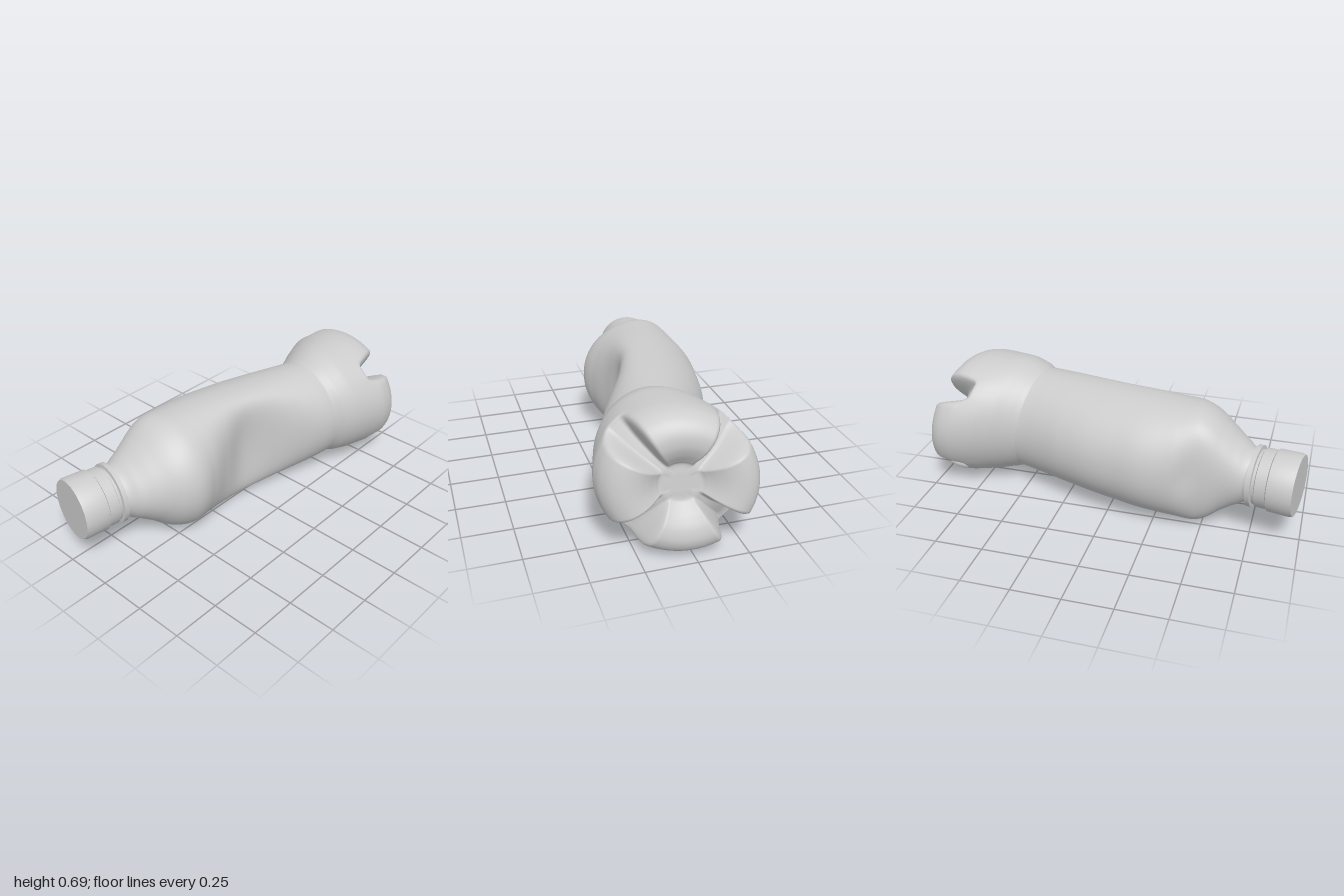
import * as THREE from 'three';
import { toCreasedNormals } from 'three/addons/utils/BufferGeometryUtils.js';

const SEG = 176;

// Section keys: centre x, back z, front z, low y, high y, tilt along z, tilt along y
const BODY = [
  [-0.74, -0.325, -0.06, 0.175, 0.445, 0.18, 0],
  [-0.69, -0.33, -0.01, 0.148, 0.478, 0.16, 0],
  [-0.6, -0.338, 0.07, 0.092, 0.548, 0.1, 0],
  [-0.53, -0.347, 0.135, 0.035, 0.602, 0.05, 0],
  [-0.46, -0.36, 0.16, 0.004, 0.631, 0, 0],
  [-0.36, -0.395, 0.137, 0.006, 0.636, 0, 0],
  [-0.2, -0.412, 0.083, 0.01, 0.64, 0, 0],
  [-0.06, -0.39, 0.055, 0.018, 0.64, 0, 0],
  [0.1, -0.355, 0.125, 0.03, 0.638, 0.02, 0.02],
  [0.25, -0.3, 0.215, 0.042, 0.635, 0.06, 0.06],
  [0.37, -0.245, 0.272, 0.052, 0.632, 0.12, 0.1],
  [0.475, -0.21, 0.3, 0.062, 0.63, 0.17, 0.15],
];
const BASE = [
  [0.475, -0.21, 0.3, 0.062, 0.63, 0.17, 0.15],
  [0.52, -0.225, 0.33, 0.048, 0.65, 0.17, 0.15],
  [0.6, -0.26, 0.363, 0.03, 0.676, 0.17, 0.15],
  [0.7, -0.3, 0.39, 0.018, 0.686, 0.17, 0.15],
  [0.8, -0.322, 0.414, 0.011, 0.69, 0.17, 0.15],
];

// Profiles of the base: position along the axis, fraction of the full radius
const LOBE = [[0.475, 1], [0.55, 1], [0.63, 1], [0.7, 1], [0.76, 1], [0.82, 0.995], [0.87, 0.965],
  [0.914, 0.88], [0.938, 0.74], [0.936, 0.58], [0.915, 0.44], [0.885, 0.32], [0.868, 0.25], [0.868, 0.12], [0.868, 0]];
const VALLEY = [[0.475, 1], [0.55, 1], [0.63, 1], [0.7, 1.005], [0.735, 1], [0.745, 0.95], [0.757, 0.88],
  [0.778, 0.79], [0.802, 0.69], [0.826, 0.58], [0.846, 0.46], [0.859, 0.35], [0.868, 0.25], [0.868, 0.12], [0.868, 0]];

const spline = (pts) => new THREE.SplineCurve(pts.map(([a, b]) => new THREE.Vector2(a, b)));

// Returns a function giving the smoothly interpolated section at any centre x
function sections(keys) {
  const columns = keys[0].map((_, c) => spline(keys.map((k) => [k[0], k[c]])));
  return (x) => {
    const last = keys.length - 1;
    let i = 0;
    while (i < last - 1 && x > keys[i + 1][0]) i++;
    const f = (x - keys[i][0]) / (keys[i + 1][0] - keys[i][0]);
    const t = THREE.MathUtils.clamp((i + f) / last, 0, 1);
    return columns.map((c) => c.getPoint(t).y);
  };
}

// Closed-ring surface from point(t, angle), t running along the bottle
function loft(rows, point) {
  const pos = [], index = [];
  for (let i = 0; i <= rows; i++) {
    for (let j = 0; j < SEG; j++) {
      pos.push(...point(i / rows, (j / SEG) * Math.PI * 2));
      if (i === rows) continue;
      const a = i * SEG + j, c = i * SEG + ((j + 1) % SEG);
      index.push(a, a + SEG, c, a + SEG, c + SEG, c);
    }
  }
  const g = new THREE.BufferGeometry();
  g.setAttribute('position', new THREE.Float32BufferAttribute(pos, 3));
  g.setIndex(index);
  g.computeVertexNormals();
  return g;
}

// A straight bottle whose front and back are pushed in or out at mid height
function bodyGeometry() {
  const at = sections(BODY);
  return loft(90, (t, angle) => {
    const x = THREE.MathUtils.lerp(-0.74, 0.475, t);
    const [, z0, z1, y0, y1, kz, ky] = at(x);
    const power = 2 + 0.15 * Math.sin(Math.PI * t);
    const bend = (v) => Math.sign(v) * Math.abs(v) ** (2 / power);
    const c = bend(Math.cos(angle));
    const axis = -0.205 + 0.203 * (x + 0.755);
    const half = 0.45 * (y1 - y0);
    const push = c > 0 ? z1 - (axis + half) : z0 - (axis - half);
    const dz = half * c + push * Math.abs(c) ** 2.2;
    const dy = bend(Math.sin(angle)) * (y1 - y0) / 2;
    const y = (y0 + y1) / 2 + dy;
    // slight crumple on the back, near the shoulder
    const along = (x + 0.42) / 0.06, across = (y - 0.34 + (x + 0.42) * 0.6) / 0.1;
    const fold = c < 0 ? 0.01 * Math.exp(-along * along - across * across) : 0;
    return [x - kz * dz - ky * dy, y, axis + dz + fold];
  });
}

function baseGeometry() {
  const at = sections(BASE), lobe = spline(LOBE), valley = spline(VALLEY);
  return loft(112, (t, angle) => {
    // four grooves on the diagonals separate four feet
    const quarter = Math.PI / 2;
    const off = Math.abs((angle % quarter) - quarter / 2);
    const w = THREE.MathUtils.smoothstep(off, 0.1, 0.28);
    const p = valley.getPoint(t).lerp(lobe.getPoint(t), w);
    const [, z0, z1, y0, y1, kz, ky] = at(Math.min(p.x, 0.8));
    const r = Math.max(p.y, 0);
    const dz = Math.cos(angle) * r * (z1 - z0) / 2;
    const dy = Math.sin(angle) * r * (y1 - y0) / 2;
    return [p.x - kz * dz - ky * dy, (y0 + y1) / 2 + dy, (z0 + z1) / 2 + dz];
  });
}

// Turned part around the tilted neck axis; profile is [radius, distance from cap face]
function turned(name, profile, material) {
  const lathe = new THREE.LatheGeometry(profile.map(([r, s]) => new THREE.Vector2(r, s)), 64);
  const mesh = new THREE.Mesh(toCreasedNormals(lathe, 0.6), material);
  mesh.name = name;
  mesh.position.set(-0.97, 0.31, -0.24);
  mesh.quaternion.setFromUnitVectors(new THREE.Vector3(0, 1, 0), new THREE.Vector3(0.985, 0, 0.175).normalize());
  return mesh;
}

export function createModel() {
  const group = new THREE.Group();
  group.name = 'crumpledBottle';
  const material = new THREE.MeshStandardMaterial({ color: 0xcccccc, side: THREE.DoubleSide });

  const add = (name, geometry) => {
    const mesh = new THREE.Mesh(geometry, material);
    mesh.name = name;
    group.add(mesh);
  };
  add('body', bodyGeometry());
  add('base', baseGeometry());

  group.add(turned('cap', [[0, 0], [0.154, 0], [0.16, 0.015], [0.158, 0.125], [0.15, 0.13], [0, 0.13]], material));
  group.add(turned('neck', [
    [0.15, 0.128], [0.15, 0.185], [0.14, 0.19], [0.14, 0.203],
    [0.157, 0.206], [0.157, 0.23], [0.134, 0.234], [0.13, 0.26],
  ], material));
  return group;
}
